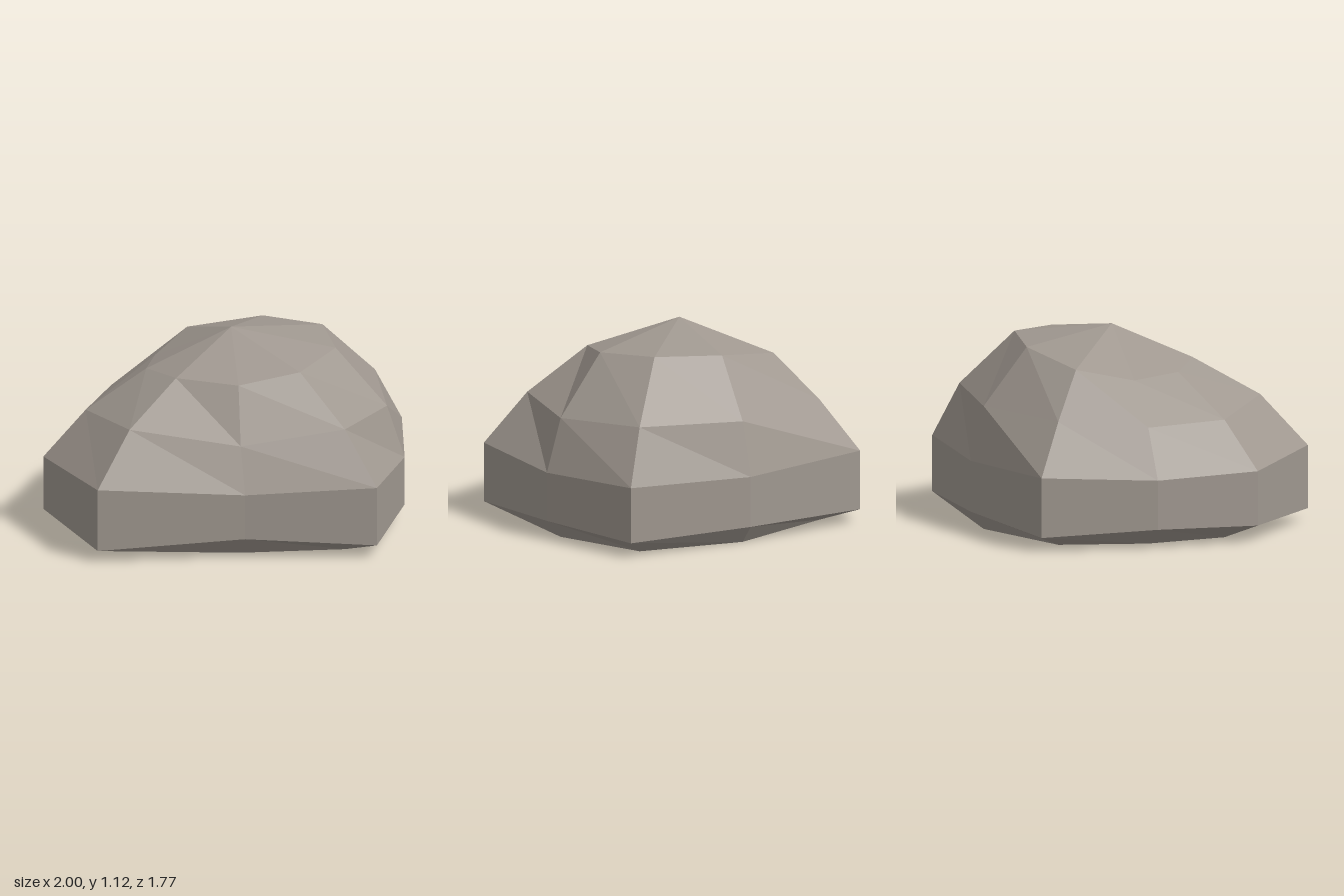
import * as THREE from 'three';

// Each ring runs from +x through +z, nine [x, y, z] corners
const CROWN = [
  [0.61, 1.02, -0.03], [0.45, 0.97, 0.27], [0.12, 0.92, 0.4],
  [-0.24, 0.93, 0.35], [-0.44, 0.9, 0.12], [-0.43, 0.88, -0.17],
  [-0.29, 0.95, -0.47], [0.13, 1.02, -0.52], [0.49, 1.04, -0.36],
];
const SHOULDER = [
  [0.9, 0.69, -0.03], [0.73, 0.71, 0.46], [0.16, 0.63, 0.6],
  [-0.46, 0.72, 0.66], [-0.77, 0.67, 0.21], [-0.69, 0.66, -0.25],
  [-0.44, 0.7, -0.69], [0.19, 0.7, -0.77], [0.76, 0.72, -0.55],
];
// Widest outline: [x, z, half height of the upright side]
const GIRTH = [
  [1, -0.03, 0.14], [0.93, 0.6, 0.17], [0.2, 0.71, 0.13],
  [-0.61, 0.88, 0.18], [-1, 0.28, 0.155], [-0.86, -0.3, 0.14],
  [-0.57, -0.89, 0.17], [0.2, -0.85, 0.145], [0.9, -0.64, 0.16],
];
const MIDDLE = 0.25;

function rockGeometry() {
  const apex = [0.02, 1.12, -0.02];
  const rings = [
    GIRTH.map(() => apex),
    CROWN,
    SHOULDER,
    GIRTH.map(([x, z, h]) => [x, MIDDLE + h, z]),
    GIRTH.map(([x, z, h]) => [x, MIDDLE - h, z]),
    SHOULDER.map(([x, , z]) => [x, 0, z]), // flat foot below the shoulder
    GIRTH.map(() => [0.02, 0, -0.02]),
  ];
  const n = GIRTH.length;
  const points = [];
  for (let r = 0; r < rings.length - 1; r++) {
    for (let k = 0; k < n; k++) {
      const next = (k + 1) % n;
      const a = rings[r][k], b = rings[r][next];
      const c = rings[r + 1][k], d = rings[r + 1][next];
      if (r > 0) points.push(...b, ...c, ...a);
      if (r < rings.length - 2) points.push(...b, ...d, ...c);
    }
  }
  const geometry = new THREE.BufferGeometry();
  geometry.setAttribute('position', new THREE.Float32BufferAttribute(points, 3));
  geometry.computeVertexNormals(); // unshared corners give flat facets
  return geometry;
}

export function createModel() {
  const stone = new THREE.MeshStandardMaterial({ color: 0xa09890 });
  stone.name = 'warm grey stone';

  const boulder = new THREE.Mesh(rockGeometry(), stone);
  boulder.name = 'boulder';

  const model = new THREE.Group();
  model.name = 'rock';
  model.add(boulder);
  return model;
}
